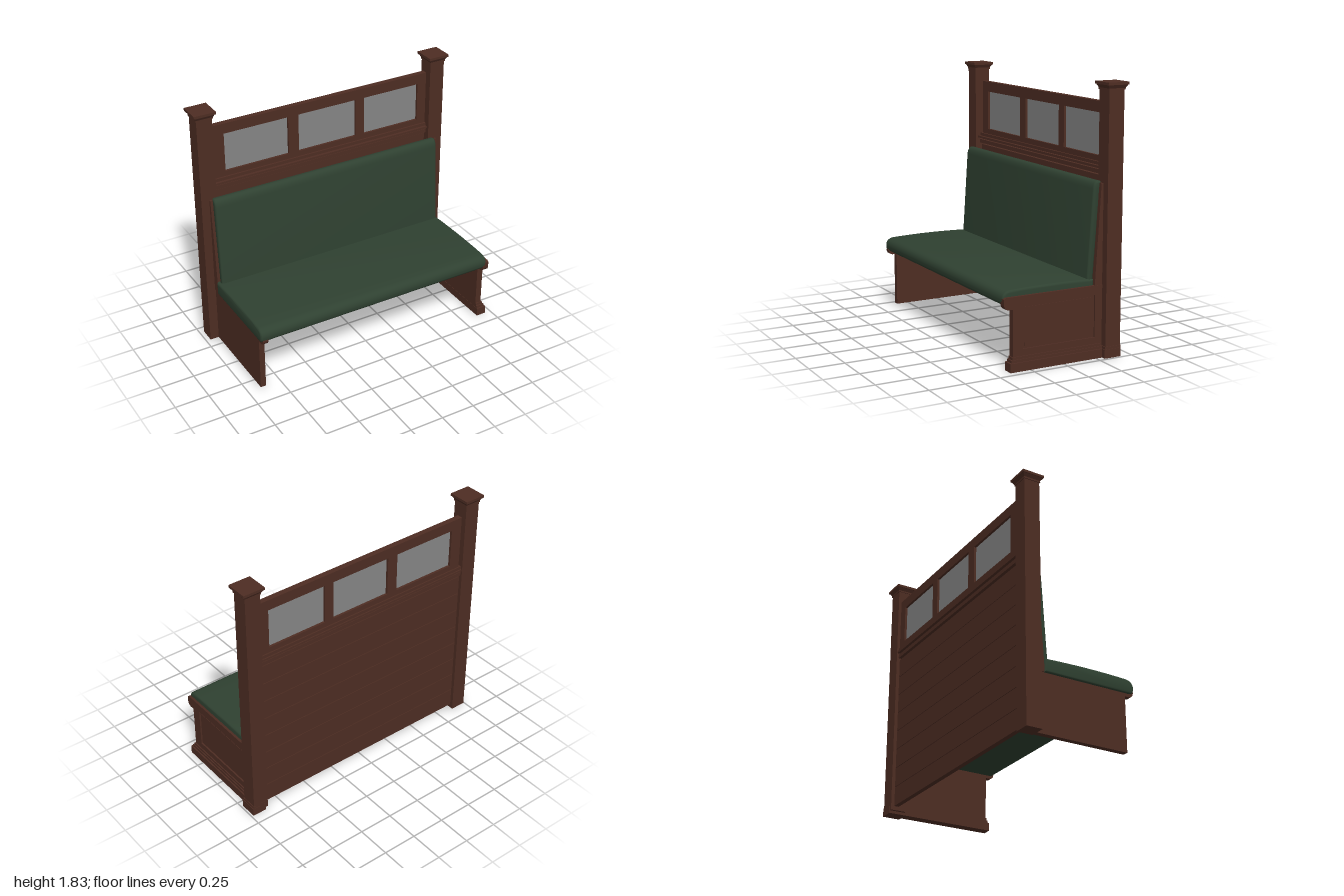
import * as THREE from 'three';
import { toCreasedNormals } from 'three/addons/utils/BufferGeometryUtils.js';

export function createModel() {
  const root = new THREE.Group();
  root.name = 'boothBench';
  const mat = (name, color) => {
    const m = new THREE.MeshStandardMaterial({ color });
    m.name = name;
    return m;
  };
  const wood = mat('dark wood', 0x4e2d23);
  const green = mat('green upholstery', 0x2f4131);
  const glass = mat('grey glass', 0x868686);

  const add = (name, geo, material = wood) => {
    const m = new THREE.Mesh(geo, material);
    m.name = name;
    root.add(m);
    return m;
  };
  // box given by its limits on each axis
  const box = (name, x0, x1, y0, y1, z0, z1, material) => {
    const m = add(name, new THREE.BoxGeometry(x1 - x0, y1 - y0, z1 - z0), material);
    m.position.set((x0 + x1) / 2, (y0 + y1) / 2, (z0 + z1) / 2);
    return m;
  };
  // side profile drawn in (z, y), swept from x0 to x1 with optional rounded ends
  const sweepX = (name, shape, x0, x1, bevel, material) => {
    const geo = new THREE.ExtrudeGeometry(shape, {
      depth: x1 - x0 - 2 * bevel, curveSegments: 8, bevelEnabled: bevel > 0,
      bevelSize: bevel, bevelThickness: bevel, bevelOffset: -bevel, bevelSegments: 4,
    });
    geo.rotateY(-Math.PI / 2);
    geo.translate(x1 - bevel, 0, 0);
    return add(name, toCreasedNormals(geo, 0.6), material);
  };
  // square tapered block
  const taper = (name, x, z, y0, y1, h0, h1) => {
    const geo = new THREE.CylinderGeometry(h1 * Math.SQRT2, h0 * Math.SQRT2, y1 - y0, 4);
    geo.rotateY(Math.PI / 4);
    add(name, toCreasedNormals(geo, 0.5)).position.set(x, (y0 + y1) / 2, z);
  };

  // corner posts with stepped caps
  const pz = -0.3625;
  for (const s of [-1, 1]) {
    const x = s * 0.919;
    box('post', x - 0.0575, x + 0.0575, 0.02, 1.79, -0.42, -0.305);
    taper('capNeck', x, pz, 1.778, 1.79, 0.0625, 0.0625);
    taper('capFlare', x, pz, 1.79, 1.812, 0.0625, 0.075);
    taper('capTop', x, pz, 1.812, 1.83, 0.08, 0.08);
  }

  // horizontal back planks
  for (let i = 0; i < 8; i++) {
    const y = 0.05 + i * 0.1445;
    box('backPlank', -0.865, 0.865, y, y + 0.14, -0.395, -0.36);
  }
  // rail mouldings under the window frame
  box('lowerRail', -0.865, 0.865, 1.215, 1.243, -0.405, -0.34);
  box('railGroove', -0.865, 0.865, 1.243, 1.255, -0.395, -0.36);
  box('upperRail', -0.865, 0.865, 1.255, 1.27, -0.415, -0.325);
  box('railCap', -0.865, 0.865, 1.27, 1.292, -0.407, -0.345);

  // window frame with three panes
  const rect = (C, x0, x1, y0, y1) => new C([[x0, y0], [x1, y0], [x1, y1], [x0, y1]]
    .map(([x, y]) => new THREE.Vector2(x, y)));
  const frame = rect(THREE.Shape, -0.845, 0.865, 1.29, 1.69);
  for (const [a, b] of [[-0.76, -0.27], [-0.19, 0.27], [0.34, 0.79]]) {
    frame.holes.push(rect(THREE.Path, a, b, 1.33, 1.615));
    box('windowPane', a, b, 1.33, 1.615, -0.381, -0.375, glass);
  }
  const frameGeo = new THREE.ExtrudeGeometry(frame, { depth: 0.04, bevelEnabled: false });
  add('windowFrame', frameGeo).position.z = -0.398;

  // sloping support behind the back cushion
  const wedge = new THREE.Shape();
  wedge.moveTo(-0.31, 0.44);
  wedge.lineTo(-0.245, 0.44);
  wedge.lineTo(-0.29, 1.17);
  wedge.lineTo(-0.31, 1.17);
  sweepX('backSupport', wedge, -0.917, 0.925, 0);

  // back cushion
  const back = new THREE.Shape();
  back.moveTo(-0.25, 0.5);
  back.lineTo(-0.205, 0.5);
  back.lineTo(-0.246, 1.13);
  back.quadraticCurveTo(-0.252, 1.185, -0.285, 1.185);
  back.lineTo(-0.305, 1.18);
  back.lineTo(-0.296, 1.13);
  sweepX('backCushion', back, -0.9, 0.9, 0.016, green);

  // seat cushion, crowned with a rounded nose
  const seat = new THREE.Shape();
  seat.moveTo(-0.25, 0.435);
  seat.lineTo(0.4, 0.432);
  seat.quadraticCurveTo(0.435, 0.432, 0.436, 0.47);
  seat.quadraticCurveTo(0.438, 0.525, 0.38, 0.533);
  seat.quadraticCurveTo(0.07, 0.548, -0.25, 0.532);
  sweepX('seatCushion', seat, -0.925, 0.91, 0.016, green);

  // end panels with a scrolled nose below the seat
  const endShape = (y0, top) => {
    const s = new THREE.Shape();
    s.moveTo(-0.31, y0);
    s.lineTo(0.37, y0);
    s.lineTo(0.37, 0.41);
    s.lineTo(0.405, 0.41);
    s.quadraticCurveTo(0.435, 0.415, 0.435, 0.45);
    s.lineTo(0.435, top - 0.01);
    s.lineTo(0.42, top);
    s.lineTo(-0.31, top);
    return s;
  };
  sweepX('rightEndPanel', endShape(0.02, 0.46), -0.912, -0.872, 0);
  sweepX('leftEndPanel', endShape(0.01, 0.492), 0.882, 0.917, 0);

  // raised border around the sunk field of the left end
  const border = endShape(0.05, 0.492);
  border.holes.push(rect(THREE.Path, -0.25, 0.295, 0.14, 0.43));
  sweepX('leftEndBorder', border, 0.917, 0.928, 0);
  box('leftEndField', 0.916, 0.921, 0.155, 0.415, -0.235, 0.28);

  // stepped skirting on the left end and around the post foot
  box('skirting', 0.88, 0.953, 0, 0.06, -0.3, 0.4);
  box('skirtingMoulding', 0.882, 0.943, 0.06, 0.078, -0.3, 0.388);
  box('skirtingBead', 0.882, 0.936, 0.078, 0.095, -0.3, 0.378);
  box('postFoot', 0.88, 0.985, 0, 0.06, -0.422, -0.295);
  box('postFootMoulding', 0.88, 0.981, 0.06, 0.078, -0.421, -0.3);

  return root;
}
